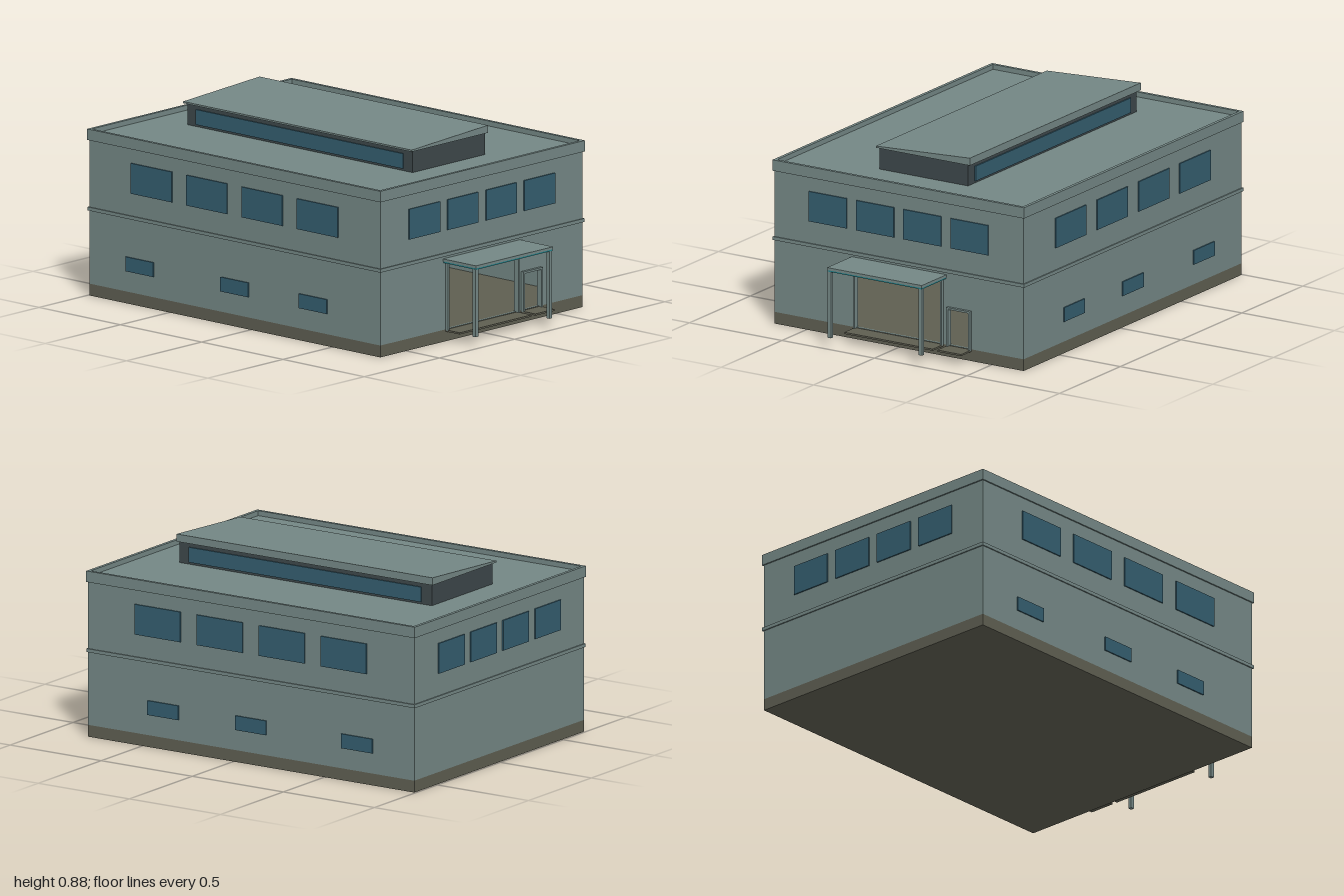
import * as THREE from 'three';

const material = (name, color, side = THREE.FrontSide) => {
  const m = new THREE.MeshStandardMaterial({ color, side });
  m.name = name;
  return m;
};

export function createModel() {
  const model = new THREE.Group();
  model.name = 'building';
  const wall = material('greyGreenWall', 0x748785);
  const base = material('oliveConcrete', 0x5e5e51);
  const glass = material('blueGlass', 0x345d6e);
  const dark = material('darkCladding', 0x3d474a);
  const teal = material('tealSoffit', 0x258088);

  const add = (name, geometry, mat) => {
    const mesh = new THREE.Mesh(geometry, mat);
    mesh.name = name;
    model.add(mesh);
    return mesh;
  };
  // Box given by its lower and upper limits on each axis
  const box = (name, mat, x0, x1, y0, y1, z0, z1) => {
    const g = new THREE.BoxGeometry(x1 - x0, y1 - y0, z1 - z0);
    g.translate((x0 + x1) / 2, (y0 + y1) / 2, (z0 + z1) / 2);
    return add(name, g, mat);
  };
  const rectangle = (T, x0, x1, y0, y1) => new T([
    new THREE.Vector2(x0, y0), new THREE.Vector2(x1, y0),
    new THREE.Vector2(x1, y1), new THREE.Vector2(x0, y1),
  ]);

  const L = -0.993, R = 0.797, Z = 0.673, T = 0.012;

  // Plinth, hollow ground storey and solid upper storey
  box('plinth', base, L, R, 0, 0.055, -Z, Z);
  box('frontWall', wall, L, R, 0.055, 0.4, Z - T, Z);
  box('backWall', wall, L, R, 0.055, 0.4, -Z, -Z + T);
  box('leftWall', wall, L, L + T, 0.055, 0.4, -Z + T, Z - T);
  box('upperStorey', wall, L, R, 0.4, 0.75, -Z, Z);
  box('groundCeiling', base, L + T, R - T, 0.392, 0.3995, -Z + T, Z - T);

  // Entrance wall with two openings (shape x runs along -z)
  const doors = [
    { name: 'mainDoor', u0: -0.23, u1: 0.23, top: 0.36 },
    { name: 'sideDoor', u0: 0.273, u1: 0.383, top: 0.227 },
  ];
  const sideShape = rectangle(THREE.Shape, -Z + T, Z - T, 0.055, 0.4);
  for (const d of doors) sideShape.holes.push(rectangle(THREE.Path, d.u0, d.u1, 0.056, d.top));
  const sideWall = new THREE.ExtrudeGeometry(sideShape, { depth: T, bevelEnabled: false });
  sideWall.rotateY(Math.PI / 2).translate(R - T, 0, 0);
  add('entranceWall', sideWall, wall);

  // Door frames and thresholds
  for (const { name, u0, u1, top } of doors) {
    const w = 0.009;
    box(name + 'JambA', wall, R, 0.812, 0.05, top + w, -u0, -u0 + w);
    box(name + 'JambB', wall, R, 0.812, 0.05, top + w, -u1 - w, -u1);
    box(name + 'Lintel', wall, R, 0.812, top, top + w, -u1, -u0);
    box(name + 'Threshold', base, R, 0.884, 0.045, 0.053, -u1 - w, -u0 + w);
  }

  // Belt course and parapet as rectangular rings
  const ring = (name, out, thick, y0, y1) => {
    const s = rectangle(THREE.Shape, L - out, R + out, -Z - out, Z + out);
    const i = thick - out;
    s.holes.push(rectangle(THREE.Path, L + i, R - i, -Z + i, Z - i));
    const g = new THREE.ExtrudeGeometry(s, { depth: y1 - y0, bevelEnabled: false });
    g.rotateX(-Math.PI / 2).translate(0, y0, 0);
    add(name, g, wall);
  };
  ring('beltCourse', 0.006, 0.008, 0.395, 0.411);
  ring('parapet', 0.007, 0.016, 0.722, 0.773);

  // Windows on the long faces, front and back
  const p = 0.006;
  for (const s of [1, -1]) {
    const longPane = (name, cx, w, y0, y1, z) =>
      box(name, glass, cx - w / 2, cx + w / 2, y0, y1, s * z - p / 2, s * z + p / 2);
    for (const cx of [-0.607, -0.268, 0.073, 0.414]) longPane('upperWindow', cx, 0.252, 0.515, 0.656, Z + p / 2);
    for (const cx of [-0.68, -0.097, 0.385]) longPane('lowerWindow', cx, 0.171, 0.15, 0.217, Z + p / 2);
    longPane('clerestoryWindow', -0.097, 1.275, 0.76, 0.83, 0.243);
  }
  // Windows on the short faces
  for (const x of [L - p, R]) {
    for (const z of [-0.3825, -0.1275, 0.1275, 0.3825]) {
      box('endWindow', glass, x, x + p, 0.515, 0.656, z - 0.102, z + 0.102);
    }
  }

  // Raised roof light with a wedge roof, higher at the back
  box('clerestory', dark, -0.79, 0.595, 0.75, 0.85, -0.24, 0.24);
  const wedge = new THREE.Shape([
    new THREE.Vector2(-0.254, 0.85), new THREE.Vector2(0.254, 0.85),
    new THREE.Vector2(0.254, 0.885), new THREE.Vector2(-0.254, 0.858),
  ]);
  const roof = new THREE.ExtrudeGeometry(wedge, { depth: 1.405, bevelEnabled: false });
  roof.rotateY(Math.PI / 2).translate(-0.803, 0, 0);
  add('clerestoryRoof', roof, wall);

  // Entrance canopy with soffit and two posts
  box('canopy', wall, R, 1, 0.373, 0.385, -0.256, 0.256);
  box('canopySoffit', teal, R, 0.998, 0.366, 0.373, -0.254, 0.254);
  for (const z of [-0.246, 0.246]) box('canopyPost', wall, 0.978, 0.996, 0.053, 0.367, z - 0.009, z + 0.009);

  return model;
}
